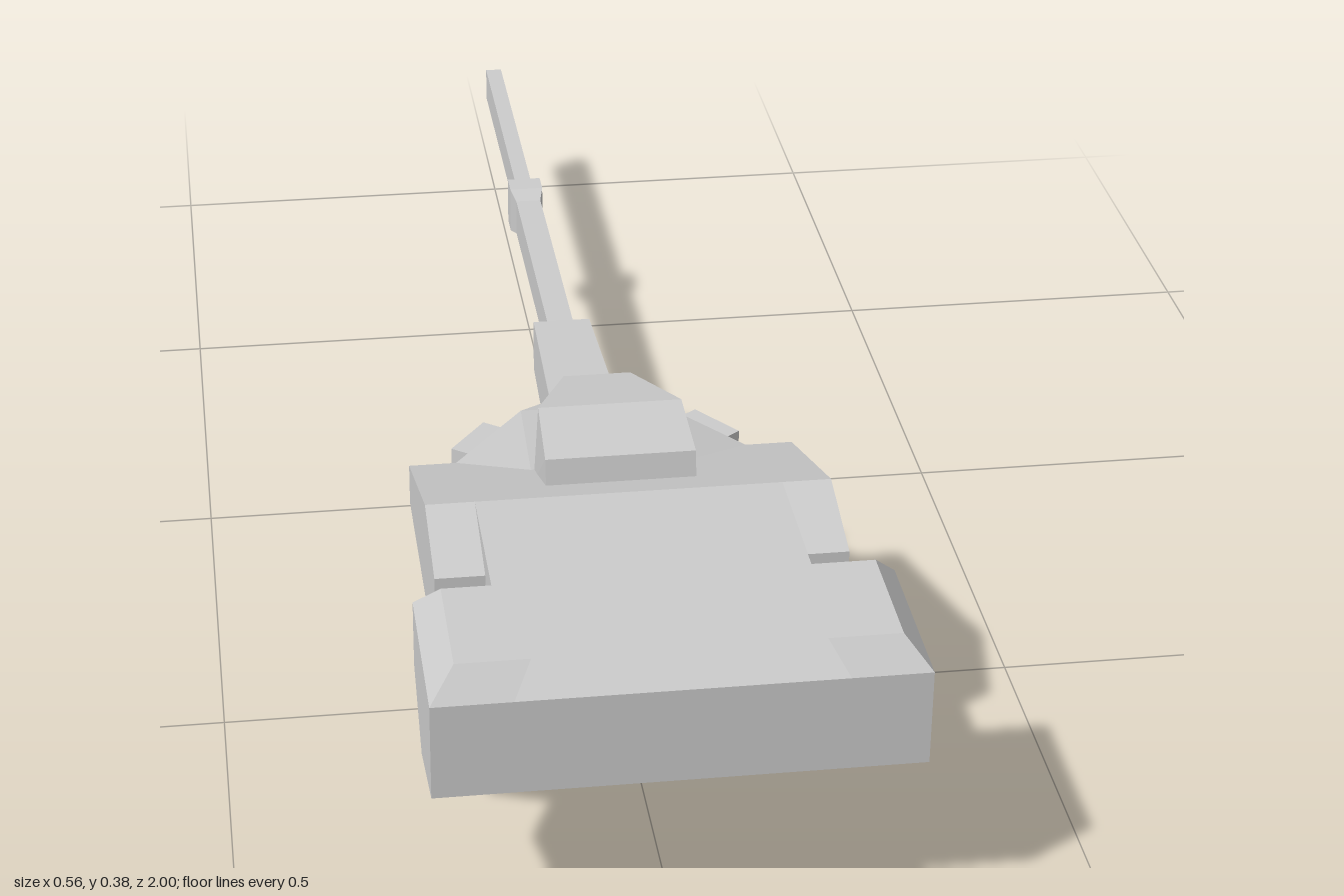
import * as THREE from 'three';
import { ConvexGeometry } from 'three/addons/geometries/ConvexGeometry.js';

const material = new THREE.MeshStandardMaterial({ color: 0xcccccc, flatShading: true });

function add(parent, name, geometry) {
  const mesh = new THREE.Mesh(geometry, material);
  mesh.name = name;
  parent.add(mesh);
  return mesh;
}

// Side profile of [z, y] points, extruded from x0 to x1
function prism(profile, x0, x1) {
  const shape = new THREE.Shape(profile.map(([z, y]) => new THREE.Vector2(z, y)));
  const geometry = new THREE.ExtrudeGeometry(shape, { depth: x1 - x0, bevelEnabled: false });
  return geometry.rotateY(-Math.PI / 2).translate(x1, 0, 0);
}

// Convex solid through [x, y, z] corners
const solid = (points) => new ConvexGeometry(points.map((p) => new THREE.Vector3(...p)));

// Same solid, with every corner repeated on both sides of x = 0
const symmetricSolid = (points) =>
  solid(points.flatMap(([x, y, z]) => [[x, y, z], [-x, y, z]]));

// Rectangular tube run through stations [z, halfWidth, bottom, top]
const taper = (stations) =>
  symmetricSolid(stations.flatMap(([z, w, low, high]) => [[w, low, z], [w, high, z]]));

export function createModel() {
  const model = new THREE.Group();
  model.name = 'gunTurret';

  // Main body with its deep basket below and overhanging bustle
  add(model, 'turretBody', prism([
    [1, 0.34], [0.57, 0.34], [0.32, 0.25], [0.32, 0.1], [0.44, 0.085],
    [0.57, 0], [0.69, 0], [0.76, 0.1], [0.87, 0.19], [1, 0.22],
  ], -0.187, 0.187));

  // Faceted nose narrowing toward the gun
  add(model, 'turretNose', symmetricSolid([
    [0.187, 0.25, 0.32], [0.187, 0.1, 0.32], [0.1, 0.278, 0.4],
    [0.09, 0.25, 0.195], [0.09, 0.125, 0.195],
    [0.045, 0.235, 0.145], [0.045, 0.145, 0.165],
  ]));

  // Roof cupola
  add(model, 'cupola', symmetricSolid([
    [0.093, 0.3, 0.505], [0.093, 0.348, 0.495], [0.09, 0.365, 0.395],
    [0.096, 0.26, 0.395], [0.043, 0.34, 0.272], [0.052, 0.25, 0.255],
  ]));

  for (const side of [1, -1]) {
    const label = side > 0 ? 'left' : 'right';
    const span = (inner, outer) => (side > 0 ? [inner, outer] : [-outer, -inner]);

    // Side sponson
    add(model, label + 'Sponson', prism([
      [0.69, 0.31], [0.57, 0.34], [0.32, 0.25], [0.32, 0.195],
      [0.575, 0.195], [0.69, 0.22],
    ], ...span(0.18, 0.247)));

    // Rear stowage bin and its leaning lid
    add(model, label + 'RearBin', prism([
      [1, 0.34], [0.785, 0.34], [0.785, 0.255], [0.87, 0.19], [1, 0.22],
    ], ...span(0.18, 0.28)));
    const lid = [];
    for (const [xs, y, zs] of [[[0.187, 0.28], 0.34, [0.785, 1]], [[0.165, 0.25], 0.375, [0.815, 0.97]]]) {
      for (const x of xs) for (const z of zs) lid.push([side * x, y, z]);
    }
    add(model, label + 'BinLid', solid(lid));

    // Angled box on the cheek
    const cheek = add(model, label + 'CheekBox', new THREE.BoxGeometry(0.05, 0.115, 0.08));
    cheek.position.set(side * 0.144, 0.182, 0.248);
    cheek.rotation.y = side * 0.6435;
  }

  // Gun, pointing to the rear of the frame
  const gun = new THREE.Group();
  gun.name = 'gun';
  model.add(gun);
  add(gun, 'mantlet', taper([[0.2, 0.046, 0.145, 0.235], [0.1, 0.044, 0.147, 0.23], [-0.1, 0.039, 0.151, 0.224]]));
  add(gun, 'barrel', taper([[-0.09, 0.018, 0.162, 0.215], [-0.53, 0.018, 0.162, 0.215]]));
  add(gun, 'barrelCollar', taper([
    [-0.505, 0.018, 0.162, 0.215], [-0.53, 0.024, 0.155, 0.223], [-0.565, 0.024, 0.155, 0.223],
  ]));
  add(gun, 'muzzleTube', taper([[-0.56, 0.012, 0.165, 0.214], [-1, 0.012, 0.165, 0.214]]));

  return model;
}
